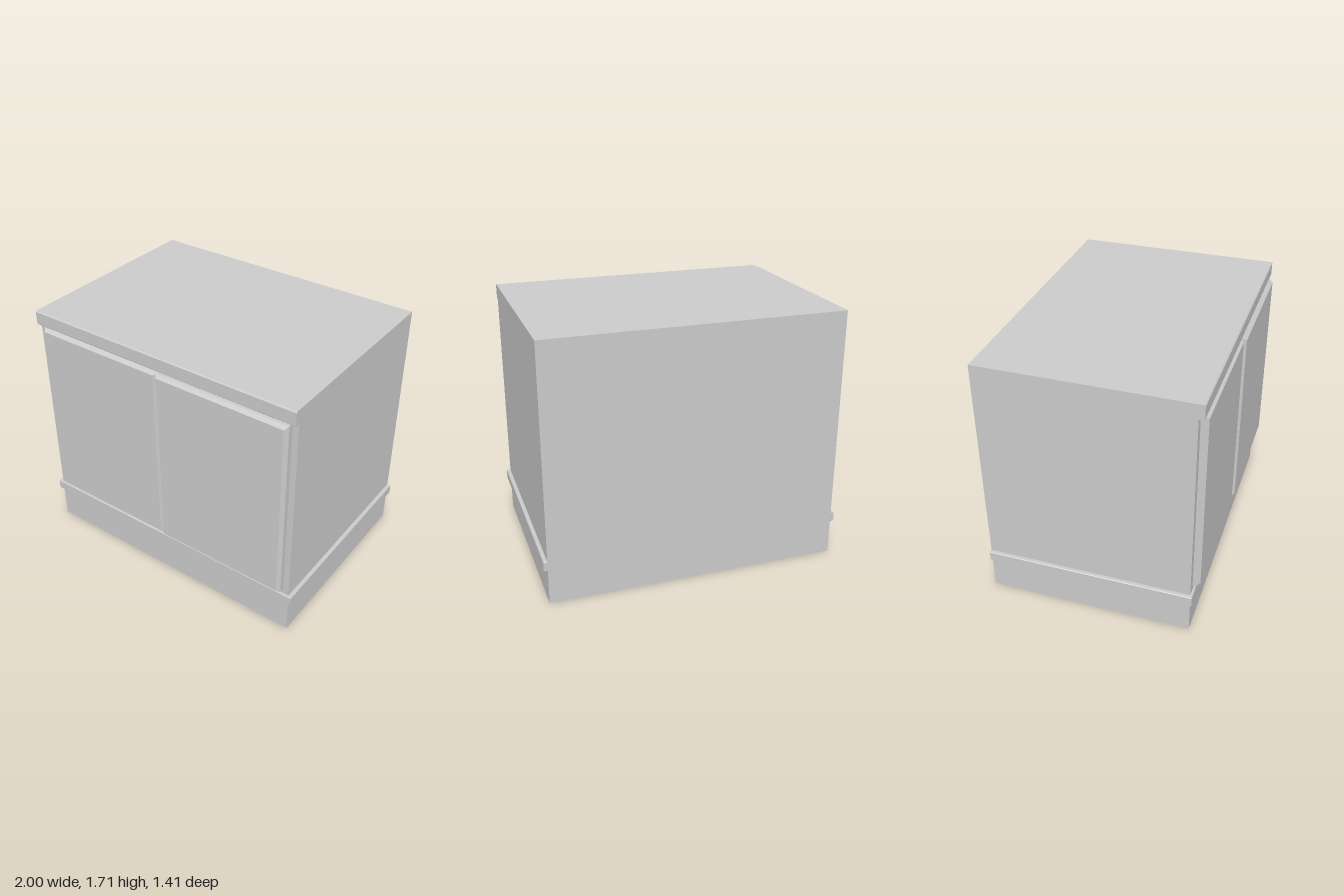
import * as THREE from 'three';

const material = new THREE.MeshStandardMaterial({ color: 0xcccccc, flatShading: true });

const HALF_W = 0.975, HEIGHT = 1.71, BACK = -0.705, FRONT = 0.65;

function addMesh(group, name, geometry) {
  const mesh = new THREE.Mesh(geometry, material);
  mesh.name = name;
  group.add(mesh);
  return mesh;
}

function polygon(points) {
  return new THREE.Shape(points.map(([x, y]) => new THREE.Vector2(x, y)));
}

// Door panel: a slab whose front edges are chamfered; z0 is its rear plane
function doorGeometry(x0, x1, y0, y1, z0, slab, chamfer, depth) {
  const w = x1 - x0, h = y1 - y0, total = slab + depth;
  const g = new THREE.BoxGeometry(w, h, slab + depth, 1, 1, 2);
  const p = g.attributes.position;
  for (let i = 0; i < p.count; i++) {
    const z = p.getZ(i);
    if (z > total / 2 - 1e-4) {
      // front corners move inward
      p.setX(i, p.getX(i) - Math.sign(p.getX(i)) * chamfer);
      p.setY(i, p.getY(i) - Math.sign(p.getY(i)) * chamfer);
    } else if (Math.abs(z) < 1e-4) {
      // middle ring marks the start of the chamfer
      p.setZ(i, slab - total / 2);
    }
  }
  g.translate((x0 + x1) / 2, (y0 + y1) / 2, z0 + total / 2);
  g.computeVertexNormals();
  return g;
}

export function createModel() {
  const cabinet = new THREE.Group();
  cabinet.name = 'cabinet';

  // Carcass
  const body = addMesh(cabinet, 'body', new THREE.BoxGeometry(HALF_W * 2, HEIGHT, FRONT - BACK));
  body.position.set(0, HEIGHT / 2, (FRONT + BACK) / 2);

  // Worktop lip with eased front edges, profile drawn in (z, y) and swept along x
  const lipProfile = polygon([
    [FRONT, 1.61], [0.677, 1.61], [0.685, 1.618],
    [0.685, 1.702], [0.677, HEIGHT], [FRONT, HEIGHT],
  ]);
  const lip = new THREE.ExtrudeGeometry(lipProfile, { depth: HALF_W * 2, bevelEnabled: false });
  lip.rotateY(-Math.PI / 2).scale(1, 1, 1).translate(HALF_W, 0, 0);
  addMesh(cabinet, 'worktopLip', lip);

  // Plinth trim: a U-shaped band around the front and both sides
  const outer = 1, inner = 0.95, front = 0.665;
  const band = polygon([
    [-outer, BACK], [-inner, BACK], [-inner, 0.6], [inner, 0.6],
    [inner, BACK], [outer, BACK], [outer, front], [-outer, front],
  ].map(([x, z]) => [x, -z]));
  const e = 0.004;
  const trim = new THREE.ExtrudeGeometry(band, {
    depth: 0.07 - 2 * e, bevelThickness: e, bevelSize: e, bevelOffset: -e, bevelSegments: 1,
  });
  trim.rotateX(-Math.PI / 2).translate(0, 0.23 + e, 0);
  addMesh(cabinet, 'plinthTrim', trim);

  // Sliding doors: the left one (+x) stands slightly proud of the other
  addMesh(cabinet, 'rightDoor', doorGeometry(-0.925, 0.008, 0.335, 1.6, FRONT, 0.02, 0.018, 0.025));
  addMesh(cabinet, 'leftDoor', doorGeometry(0.003, 0.935, 0.335, 1.6, FRONT, 0.035, 0.02, 0.023));

  return cabinet;
}
